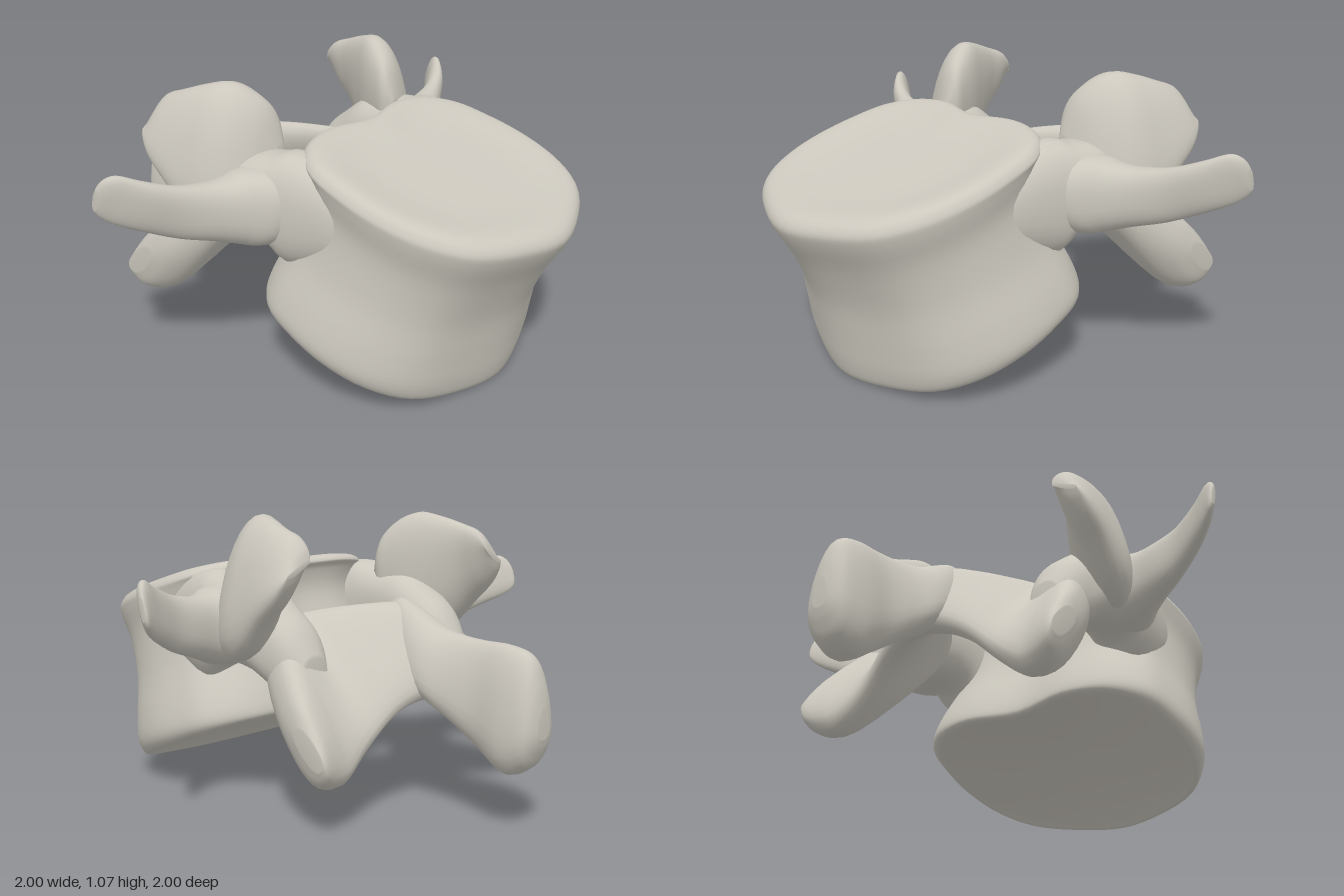
import * as THREE from 'three';

const bone = new THREE.MeshStandardMaterial({ color: 0xccc8be });
bone.name = 'bone';

// Smoothly resample a list of equal-length number rows
function resample(rows, steps) {
  const out = [];
  const n = rows.length;
  for (let i = 0; i < n - 1; i++) {
    const a = rows[Math.max(i - 1, 0)], b = rows[i], c = rows[i + 1], d = rows[Math.min(i + 2, n - 1)];
    for (let s = 0; s < steps; s++) {
      const t = s / steps;
      out.push(b.map((p, k) => p + 0.5 * t * (c[k] - a[k]
        + t * (2 * a[k] - 5 * p + 4 * c[k] - d[k] + t * (3 * (p - c[k]) + d[k] - a[k])))));
    }
  }
  out.push(rows[n - 1]);
  return out;
}

// Closed skin over rings of points, turned outward by its signed volume
function skin(name, rings) {
  const m = rings[0].length, pos = [], index = [];
  rings.forEach(r => r.forEach(p => pos.push(...p)));
  for (let i = 0; i < rings.length - 1; i++) {
    for (let j = 0; j < m; j++) {
      const a = i * m + j, b = i * m + (j + 1) % m;
      index.push(a, b, b + m, a, b + m, a + m);
    }
  }
  [0, rings.length - 1].forEach((r, end) => {
    const c = pos.length / 3;
    pos.push(...[0, 1, 2].map(k => rings[r].reduce((s, p) => s + p[k], 0) / m));
    for (let j = 0; j < m; j++) {
      const a = r * m + j, b = r * m + (j + 1) % m;
      if (end) index.push(a, b, c); else index.push(b, a, c);
    }
  });
  const at = i => new THREE.Vector3().fromArray(pos, index[i] * 3);
  let volume = 0;
  for (let i = 0; i < index.length; i += 3) volume += at(i).dot(at(i + 1).cross(at(i + 2)));
  if (volume < 0) index.reverse();
  const g = new THREE.BufferGeometry();
  g.setAttribute('position', new THREE.Float32BufferAttribute(pos, 3));
  g.setIndex(index);
  g.computeVertexNormals();
  const mesh = new THREE.Mesh(g, bone);
  mesh.name = name;
  return mesh;
}

// Rounded-square outline running from -1 to 1 both ways
const outline = Array.from({ length: 28 }, (_, i) => {
  const a = i / 28 * Math.PI * 2, f = v => Math.sign(v) * Math.abs(v) ** 0.85;
  return [f(Math.cos(a)), f(Math.sin(a))];
});

// Sections across z: [z, x0, x1, y0, y1]; taper narrows the top, lean shifts it sideways
const alongZ = (name, rows, { side = 1, taper = 0, lean = 0 } = {}) =>
  skin(name, resample(rows, 5).map(([z, x0, x1, y0, y1]) => outline.map(([u, v]) => [
    side * ((x0 + x1) / 2 + u * (1 - taper * v) * (x1 - x0) / 2 + lean * v),
    (y0 + y1) / 2 + v * (y1 - y0) / 2, z])));

// Slab sections across x: [x, top z, top y, bottom z, bottom y, half thickness]
const alongX = (name, rows, side = 1) => skin(name, resample(rows, 5).map(([x, zt, yt, zb, yb, h]) => {
  const dz = (zt - zb) / 2, dy = (yt - yb) / 2, l = Math.hypot(dz, dy);
  return outline.map(([u, v]) =>
    [side * x, (yt + yb) / 2 + u * dy - v * h * dz / l, (zt + zb) / 2 + u * dz + v * h * dy / l]);
}));

// D-shaped body with tilted end faces and a waist
function vertebralBody() {
  const half = [[0, 1], [0.4, 0.89], [0.73, 0.69], [0.92, 0.38], [1, 0], [0.99, -0.38],
    [0.92, -0.7], [0.72, -0.92], [0.42, -1], [0, -0.92]];
  const pts = [...half, ...half.slice(1, -1).reverse().map(([x, y]) => [-x, y])]
    .map(([x, y]) => new THREE.Vector3(x, y, 0));
  const shape = new THREE.CatmullRomCurve3(pts, true).getPoints(72).slice(0, 72);
  // [front z, front y, back z, back y, half width]
  const rows = [
    [0.48, 0.18, 0.36, 0.23, 0.06],
    [0.62, 0.11, 0.2, 0.27, 0.3],
    [0.74, 0.035, 0.06, 0.295, 0.48],
    [0.785, 0.005, 0.005, 0.31, 0.535],
    [0.81, 0.07, 0.0, 0.345, 0.565],
    [0.83, 0.18, 0.035, 0.43, 0.55],
    [0.86, 0.32, 0.11, 0.57, 0.51],
    [0.92, 0.46, 0.17, 0.74, 0.49],
    [0.985, 0.57, 0.16, 0.84, 0.505],
    [1.0, 0.625, 0.14, 0.875, 0.505],
    [0.95, 0.67, 0.19, 0.895, 0.46],
    [0.8, 0.7, 0.32, 0.84, 0.3],
    [0.62, 0.75, 0.5, 0.785, 0.06],
  ];
  return skin('vertebralBody', resample(rows, 4).map(([zf, yf, zb, yb, w]) =>
    shape.map(p => [p.x * w, (yf + yb) / 2 + p.y * (yf - yb) / 2, (zf + zb) / 2 + p.y * (zf - zb) / 2])));
}

export function createModel() {
  const model = new THREE.Group();
  model.name = 'lumbarVertebra';
  model.add(vertebralBody());

  // Paired parts
  for (const [side, label] of [[1, 'left'], [-1, 'right']]) {
    model.add(
      // Pedicle, running on into the neck above the lower joint
      alongZ(label + 'Pedicle', [
        [0.52, 0.34, 0.44, 0.55, 0.72],
        [0.38, 0.3, 0.49, 0.5, 0.8],
        [0.27, 0.28, 0.515, 0.46, 0.85],
        [0.17, 0.28, 0.535, 0.45, 0.865],
        [0.1, 0.28, 0.55, 0.51, 0.85],
        [0.02, 0.28, 0.56, 0.53, 0.84],
        [-0.1, 0.28, 0.55, 0.51, 0.82],
        [-0.2, 0.29, 0.52, 0.45, 0.75],
        [-0.28, 0.3, 0.5, 0.41, 0.68],
        [-0.34, 0.34, 0.46, 0.42, 0.58],
      ], { side }),
      alongX(label + 'TransverseWing', [
        [0.4, 0.08, 0.81, 0.08, 0.53, 0.16],
        [0.53, 0.06, 0.81, 0.06, 0.53, 0.14],
        [0.6, 0.03, 0.795, 0.03, 0.55, 0.1],
        [0.67, 0.0, 0.79, 0.0, 0.575, 0.075],
        [0.78, -0.03, 0.805, -0.05, 0.61, 0.05],
        [0.88, -0.07, 0.84, -0.11, 0.655, 0.045],
        [0.95, -0.12, 0.87, -0.16, 0.69, 0.035],
        [0.985, -0.15, 0.855, -0.19, 0.72, 0.025],
        [1.0, -0.175, 0.82, -0.195, 0.745, 0.012],
      ], side),
      alongZ(label + 'UpperJoint', [
        [0.06, 0.36, 0.44, 0.66, 0.84],
        [0.02, 0.32, 0.51, 0.58, 0.97],
        [-0.04, 0.33, 0.57, 0.56, 1.04],
        [-0.11, 0.36, 0.6, 0.56, 1.07],
        [-0.19, 0.41, 0.61, 0.6, 1.055],
        [-0.28, 0.46, 0.61, 0.7, 1.025],
        [-0.35, 0.48, 0.6, 0.77, 1.0],
        [-0.39, 0.5, 0.58, 0.83, 0.96],
        [-0.405, 0.52, 0.56, 0.87, 0.92],
      ], { side, lean: -0.045, taper: 0.15 }),
    );
  }

  // Roof plate spanning both sides, ending in the lower joints
  const roof = [
    [0, -0.34, 0.74, -0.58, 0.43, 0.085],
    [0.1, -0.26, 0.73, -0.55, 0.42, 0.08],
    [0.2, -0.15, 0.71, -0.52, 0.37, 0.08],
    [0.31, -0.05, 0.68, -0.5, 0.27, 0.09],
    [0.42, -0.11, 0.67, -0.51, 0.185, 0.1],
    [0.5, -0.23, 0.56, -0.52, 0.18, 0.1],
    [0.56, -0.35, 0.45, -0.54, 0.21, 0.075],
    [0.585, -0.43, 0.37, -0.55, 0.26, 0.035],
  ];
  const mirrored = roof.slice(1).reverse().map(([x, ...rest]) => [-x, ...rest]);
  model.add(alongX('laminaAndLowerJoints', [...mirrored, ...roof]));

  // Rear blade with a narrow crest and a thicker end
  model.add(alongZ('rearSpine', [
    [-0.31, 0.02, 0.62, 0.73],
    [-0.38, 0.06, 0.54, 0.765],
    [-0.47, 0.1, 0.46, 0.73],
    [-0.57, 0.115, 0.4, 0.675],
    [-0.66, 0.09, 0.34, 0.655],
    [-0.76, 0.075, 0.27, 0.645],
    [-0.87, 0.09, 0.2, 0.64],
    [-0.95, 0.085, 0.23, 0.61],
    [-0.985, 0.065, 0.29, 0.53],
    [-1.0, 0.03, 0.34, 0.44],
  ].map(([z, w, y0, y1]) => [z, -w, w, y0, y1]), { taper: 0.3 }));

  return model;
}
